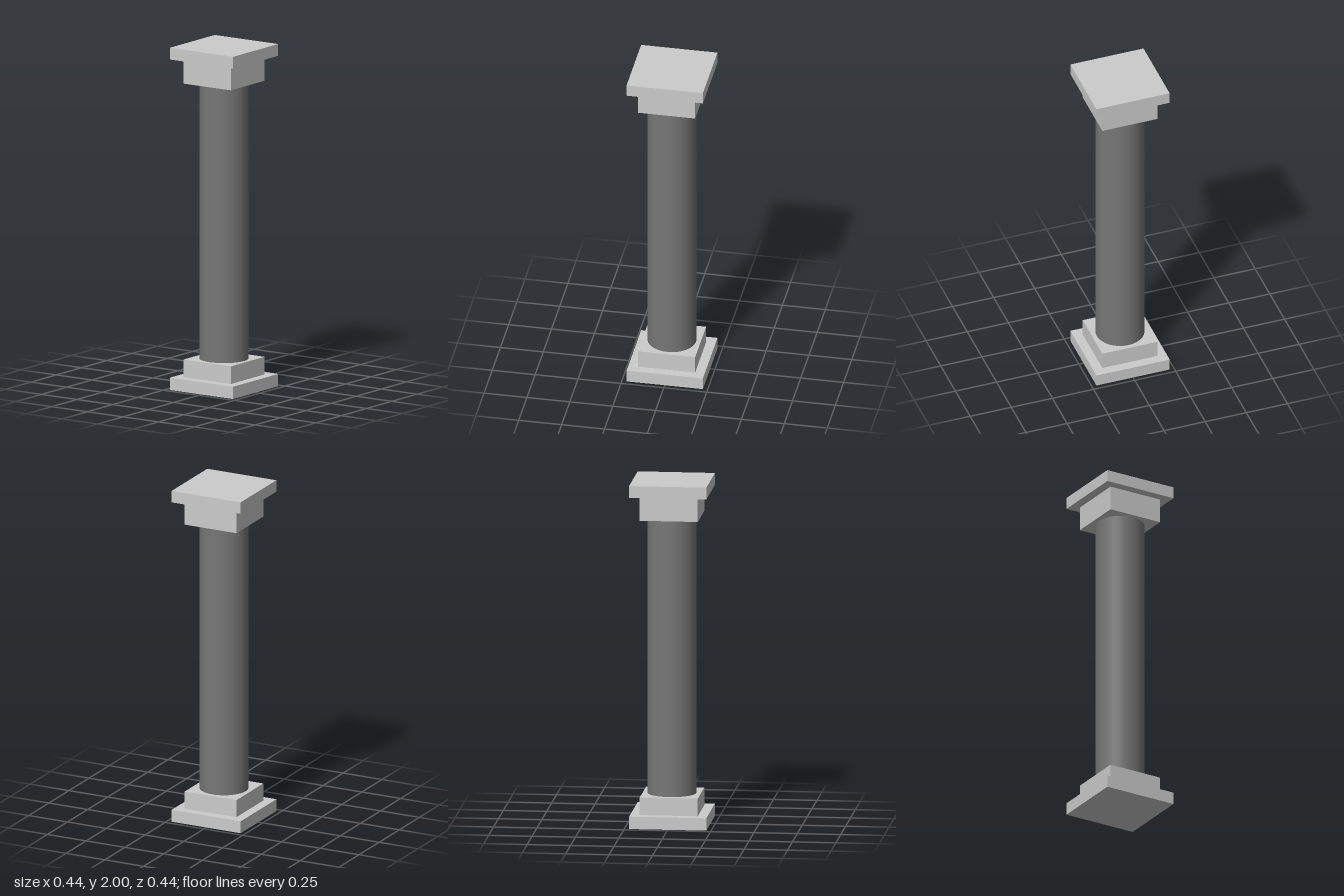
import * as THREE from 'three';

export function createModel() {
  const model = new THREE.Group();
  const stone = new THREE.MeshStandardMaterial({ color: 0xcccccc });
  const darkStone = new THREE.MeshStandardMaterial({ color: 0x777777 });

  const add = (name, geometry, material, bottom, top) => {
    const mesh = new THREE.Mesh(geometry, material);
    mesh.name = name;
    mesh.position.y = (bottom + top) / 2;
    model.add(mesh);
  };

  // Square slabs: name, width, bottom, top
  const slabs = [
    ['basePlinth', 0.445, 0, 0.072],
    ['baseBlock', 0.334, 0.072, 0.175],
    ['capitalBlock', 0.334, 1.788, 1.931],
    ['capitalSlab', 0.445, 1.931, 2],
  ];
  for (const [name, width, bottom, top] of slabs) {
    add(name, new THREE.BoxGeometry(width, top - bottom, width), stone, bottom, top);
  }

  // Round shaft between the base and the capital
  const [bottom, top] = [0.175, 1.788];
  add('shaft', new THREE.CylinderGeometry(0.141, 0.141, top - bottom, 32), darkStone, bottom, top);

  return model;
}
